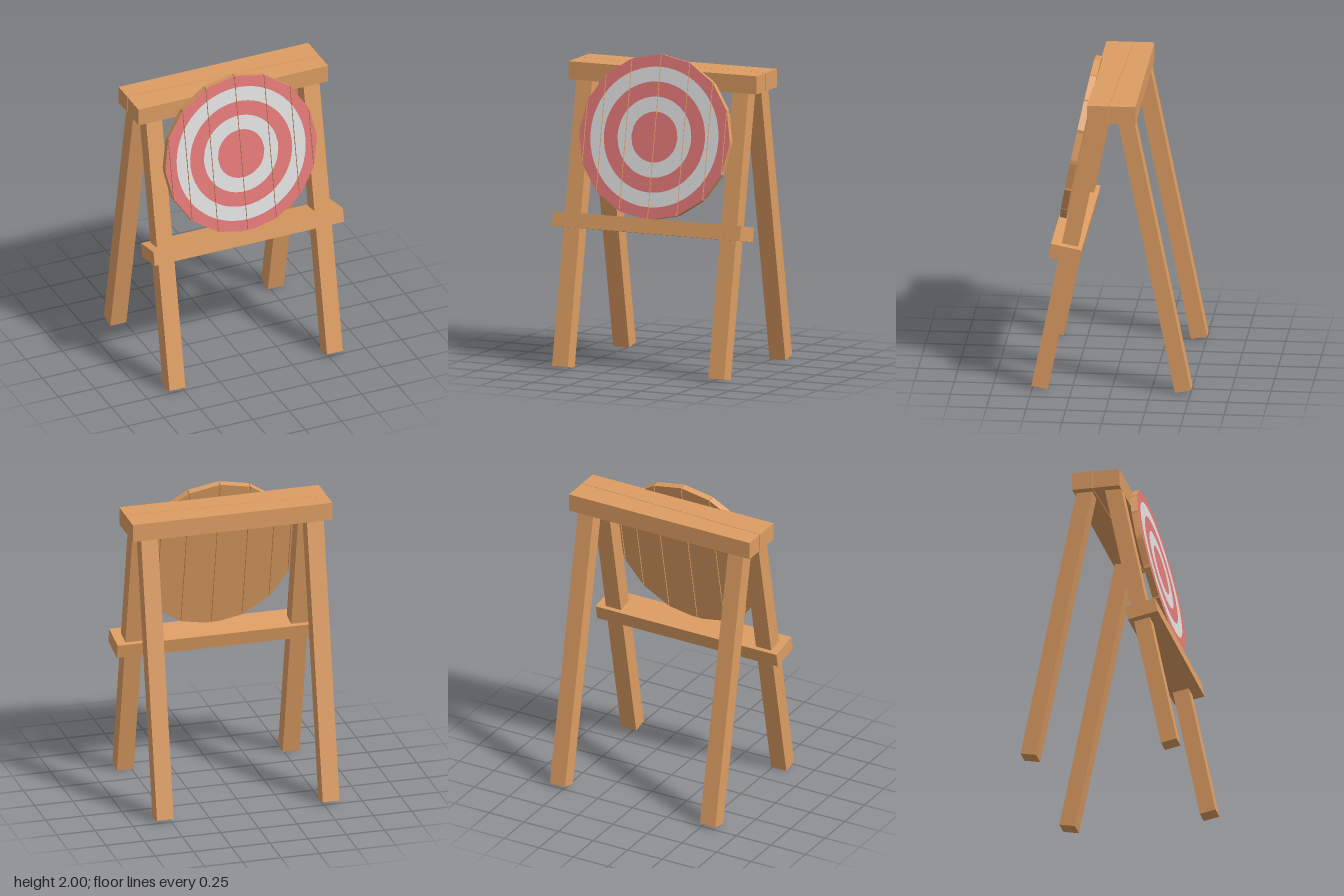
import * as THREE from 'three';

const mat = (name, color) => {
  const m = new THREE.MeshStandardMaterial({ color });
  m.name = name;
  return m;
};

export function createModel() {
  const wood = mat('wood', 0xdc9c62);
  const red = mat('red paint', 0xdd7575);
  const white = mat('white paint', 0xdadada);
  const model = new THREE.Group();
  model.name = 'targetStand';
  const TILT = 0.2;

  const add = (parent, name, geometry, material) => {
    const mesh = new THREE.Mesh(geometry, material);
    mesh.name = name;
    parent.add(mesh);
    return mesh;
  };

  // Four splayed legs, tops tucked into the beam
  const legLength = 1.84;
  for (const x of [-0.545, 0.54]) {
    for (const s of [1, -1]) {
      const geo = new THREE.BoxGeometry(0.11, legLength, 0.103).translate(0, legLength / 2, 0);
      const leg = add(model, s > 0 ? 'frontLeg' : 'backLeg', geo, wood);
      leg.position.set(x, 0.012, 0.453 * s);
      leg.rotation.x = -TILT * s;
    }
  }

  // Top beam: two planks meeting along a slightly skewed crack
  const plank = (name, outline) => {
    const shape = new THREE.Shape(outline.map(([x, z]) => new THREE.Vector2(x, z)));
    const geo = new THREE.ExtrudeGeometry(shape, { depth: 0.115, bevelEnabled: false });
    add(model, name, geo.rotateX(Math.PI / 2).translate(0, 1.905, 0), wood);
  };
  const W = 0.653, crack = 0.0015;
  plank('beamBackPlank', [[-W, -0.158], [W, -0.158], [W, 0.01 - crack], [-W, -0.028 - crack]]);
  plank('beamFrontPlank', [[-W, -0.028 + crack], [W, 0.01 + crack], [W, 0.146], [-W, 0.146]]);

  // Shelf square to the front legs
  const shelf = add(model, 'shelf', new THREE.BoxGeometry(2 * W, 0.093, 0.196), wood);
  shelf.position.set(0, 0.92, 0.288);
  shelf.rotation.x = -TILT;

  // Sixteen-sided target made of eight planks
  const target = new THREE.Group();
  target.name = 'target';
  target.position.set(0, 1.488, 0.265);
  target.rotation.x = -TILT;
  model.add(target);

  const R = 0.523, gap = 0.0025, thick = 0.042;
  const corner = (i) => {
    const a = (i * Math.PI) / 8;
    return [-R * Math.cos(a), R * Math.sin(a)];
  };
  const radii = [0, 0.16, 0.255, 0.35, 0.443];

  for (let i = 0; i < 8; i++) {
    const [ax, ay] = corner(i), [bx, by] = corner(i + 1);
    const edge = (x) => ay + ((by - ay) * (x - ax)) / (bx - ax);
    const x0 = ax + gap, x1 = bx - gap;
    const shape = new THREE.Shape([
      new THREE.Vector2(x0, -edge(x0)), new THREE.Vector2(x1, -edge(x1)),
      new THREE.Vector2(x1, edge(x1)), new THREE.Vector2(x0, edge(x0)),
    ]);
    const geo = new THREE.ExtrudeGeometry(shape, { depth: thick, bevelEnabled: false });
    add(target, 'targetPlank', geo.translate(0, 0, -thick), wood);

    // Columns across the plank, with extra ones where a ring starts or ends
    const xs = radii.flatMap((r) => [r, -r]).filter((x) => x > x0 && x < x1);
    for (let k = 0; k <= 16; k++) xs.push(x0 + ((x1 - x0) * k) / 16);
    xs.sort((a, b) => a - b);

    // Painted ring faces on this plank
    radii.forEach((rIn, n) => {
      const half = (r, x) => Math.sqrt(Math.max(0, r * r - x * x));
      const outer = (x) => (n === 4 ? edge(x) : half(radii[n + 1], x));
      const pos = [];
      for (let k = 0; k < xs.length - 1; k++) {
        const a = xs[k], b = xs[k + 1];
        if (b - a < 1e-6 || outer(a) + outer(b) < 1e-6) continue;
        const z = 0.0015;
        const quad = (a0, a1, b0, b1) => pos.push(
          a, a0, z, b, b0, z, b, b1, z,
          a, a0, z, b, b1, z, a, a1, z);
        quad(half(rIn, a), outer(a), half(rIn, b), outer(b));
        quad(-outer(a), -half(rIn, a), -outer(b), -half(rIn, b));
      }
      if (!pos.length) return;
      const ring = new THREE.BufferGeometry();
      ring.setAttribute('position', new THREE.Float32BufferAttribute(pos, 3));
      const normals = pos.map((_, j) => (j % 3 === 2 ? 1 : 0));
      ring.setAttribute('normal', new THREE.Float32BufferAttribute(normals, 3));
      add(target, 'paintedRing', ring, n % 2 ? white : red);
    });
  }
  return model;
}
